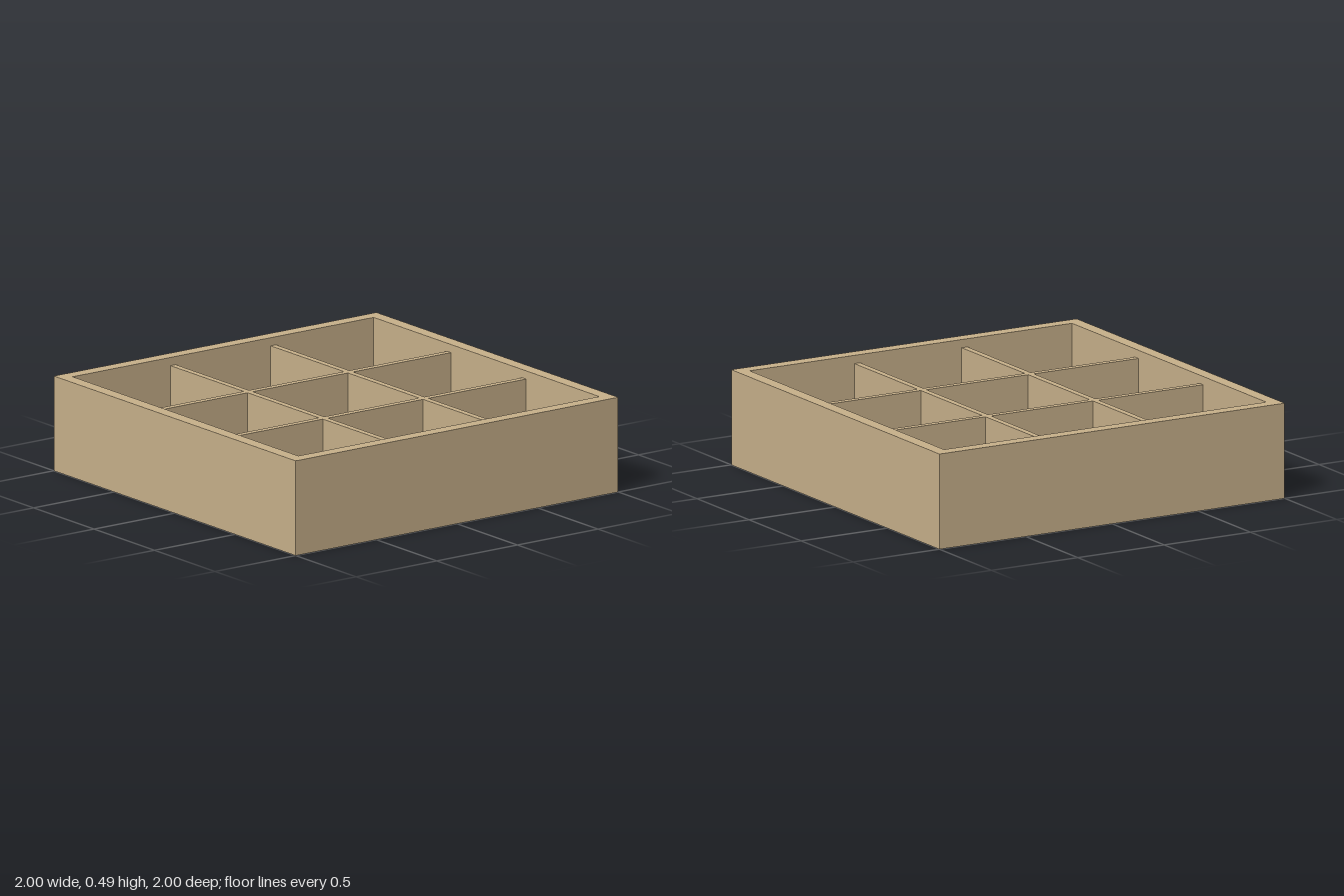
import * as THREE from 'three';

const SIZE = 2, HEIGHT = 0.487, WALL = 0.067, FLOOR = 0.05;
const DIVIDER = 0.033, DIVIDER_TOP = 0.445;
const INNER = SIZE - 2 * WALL;
const OFFSET = INNER / 6; // divider centre lines split the inside into thirds

export function createModel() {
  const tray = new THREE.Group();
  tray.name = 'compartmentTray';
  const wood = new THREE.MeshStandardMaterial({ color: 0xc8b18b });
  wood.name = 'light wood';

  const add = (name, geometry, x, y, z) => {
    const mesh = new THREE.Mesh(geometry, wood);
    mesh.name = name;
    mesh.position.set(x, y, z);
    tray.add(mesh);
  };
  const square = (Type, s) => new Type([[-s, -s], [s, -s], [s, s], [-s, s]]
    .map(([x, y]) => new THREE.Vector2(x, y)));

  // Floor panel
  add('floor', new THREE.BoxGeometry(SIZE, FLOOR, SIZE), 0, FLOOR / 2, 0);

  // Outer walls as one square ring
  const ring = square(THREE.Shape, SIZE / 2);
  ring.holes.push(square(THREE.Path, INNER / 2));
  const walls = new THREE.ExtrudeGeometry(ring, { depth: HEIGHT - FLOOR, bevelEnabled: false });
  walls.rotateX(-Math.PI / 2);
  add('outerWalls', walls, 0, FLOOR, 0);

  // Dividers, slightly lower than the rim
  const h = DIVIDER_TOP - FLOOR, y = FLOOR + h / 2;
  const middle = 2 * OFFSET - DIVIDER;
  const end = INNER / 2 - OFFSET - DIVIDER / 2;
  for (const side of [-1, 1]) {
    add('longDivider', new THREE.BoxGeometry(INNER, h, DIVIDER), 0, y, side * OFFSET);

    // Cross dividers fit between the long ones
    for (const row of [-1, 0, 1]) {
      const length = row ? end : middle;
      const z = row * (INNER / 2 - end / 2);
      add('crossDivider', new THREE.BoxGeometry(DIVIDER, h, length), side * OFFSET, y, z);
    }
  }
  return tray;
}
